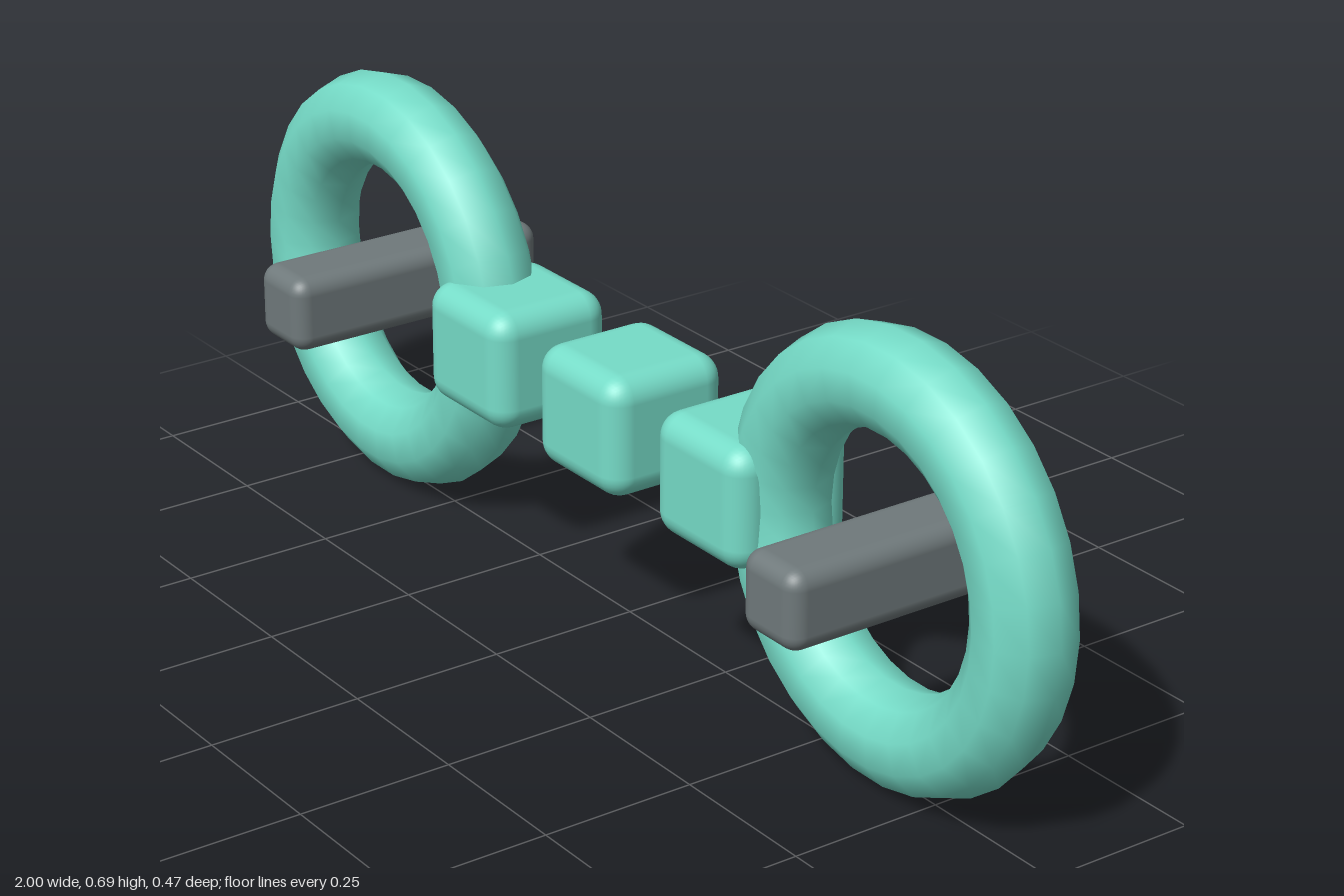
import * as THREE from 'three';
import { RoundedBoxGeometry } from 'three/addons/geometries/RoundedBoxGeometry.js';

const CENTRE_Y = 0.35;

export function createModel() {
  const model = new THREE.Group();
  const teal = new THREE.MeshStandardMaterial({ color: 0x76dcc8 });
  const grey = new THREE.MeshStandardMaterial({ color: 0x6f797b });

  function add(name, geometry, material, x) {
    const mesh = new THREE.Mesh(geometry, material);
    mesh.name = name;
    mesh.position.set(x, CENTRE_Y, 0);
    model.add(mesh);
  }

  const ring = new THREE.TorusGeometry(0.272, 0.077, 10, 30);
  const bar = new RoundedBoxGeometry(0.124, 0.126, 0.47, 4, 0.028);
  const block = new RoundedBoxGeometry(0.215, 0.198, 0.215, 4, 0.04);

  // A ring at each end with a bar through its middle
  for (const [side, sign] of [['left', 1], ['right', -1]]) {
    add(side + 'Ring', ring, teal, sign * 0.651);
    add(side + 'Bar', bar, grey, sign * 0.651);
    add(side + 'Block', block, teal, sign * 0.308);
  }

  // Middle of the row of blocks joining the rings
  add('middleBlock', block, teal, 0);

  return model;
}
